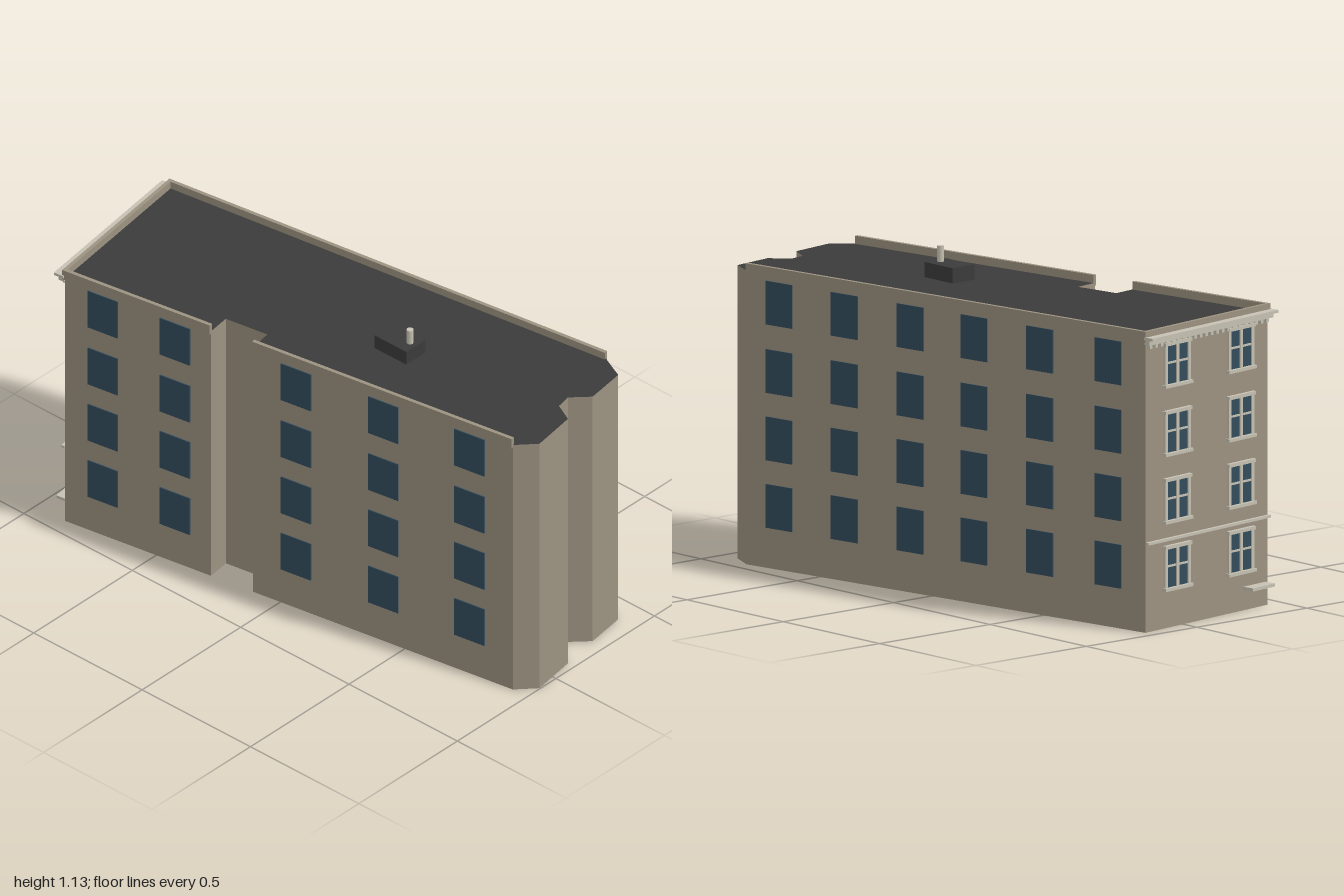
import * as THREE from 'three';

const mat = (name, color) => new THREE.MeshStandardMaterial({ name, color });

export function createModel() {
  const wall = mat('tan masonry', 0x9c9280);
  const roof = mat('dark roofing', 0x3b3b3b);
  const glass = mat('blue grey glass', 0x344c5c);
  const trim = mat('pale stone', 0xc6c1b3);

  const model = new THREE.Group();
  model.name = 'apartmentBlock';

  const add = (parent, name, geometry, material, x, y, z) => {
    const mesh = new THREE.Mesh(geometry, material);
    mesh.name = name;
    mesh.position.set(x, y, z);
    parent.add(mesh);
    return mesh;
  };
  // box given by its ranges along, up and out of a wall
  const box = (parent, name, material, x0, x1, y0, y1, z0, z1) =>
    add(parent, name, new THREE.BoxGeometry(x1 - x0, y1 - y0, z1 - z0), material,
      (x0 + x1) / 2, (y0 + y1) / 2, (z0 + z1) / 2);

  // footprint corners as x, z
  const H = 1.022;
  const frontLeft = [-0.867, 0.438], frontRight = [0.935, 0.147];
  const backRight = [0.826, -0.445], backLeft = [-0.958, -0.195];
  const notchLeft = [-0.28, 0.343], notchRight = [-0.11, 0.316];
  const footprint = [
    frontLeft, notchLeft, [-0.292, 0.254], [-0.125, 0.227], notchRight, frontRight,
    [0.997, 0.08], [0.97, -0.094], [0.896, -0.13], [0.885, -0.188],
    [0.944, -0.248], [0.922, -0.402], backRight, backLeft,
  ];
  const shape = new THREE.Shape(footprint.map(([x, z]) => new THREE.Vector2(x, -z)));
  const body = new THREE.ExtrudeGeometry(shape, { depth: H, bevelEnabled: false });
  body.rotateX(-Math.PI / 2);
  add(model, 'building', body, [roof, wall], 0, 0, 0);

  // group whose x runs along a wall and whose z points outwards
  const face = (name, a, b) => {
    const g = new THREE.Group();
    g.name = name;
    g.position.set(a[0], 0, a[1]);
    g.rotation.y = Math.atan2(a[1] - b[1], b[0] - a[0]);
    g.userData.length = Math.hypot(b[0] - a[0], b[1] - a[1]);
    model.add(g);
    return g;
  };
  const front = face('frontFace', frontLeft, frontRight);
  const back = face('backFace', backRight, backLeft);
  const side = face('streetFace', backLeft, frontLeft);

  // plain windows on the long faces
  const floors = [0.14, 0.375, 0.61, 0.848];
  const winH = 0.152;
  const plainWindows = (g, centres, width) => {
    for (const c of centres) for (const y of floors)
      box(g, 'window', glass, c - width / 2, c + width / 2, y, y + winH, -0.003, 0.004);
  };
  const frontScale = front.userData.length / (frontRight[0] - frontLeft[0]);
  plainWindows(front, [-0.714, -0.423, 0.064, 0.415, 0.762]
    .map((x) => (x - frontLeft[0]) * frontScale), 0.122);
  plainWindows(back, [0.082, 0.246, 0.411, 0.571, 0.736, 0.907]
    .map((t) => t * back.userData.length), 0.12);

  // parapets, broken at the front notch
  const parapet = (g, x0, x1) => box(g, 'parapet', wall, x0, x1, 1.012, 1.05, -0.007, 0.007);
  parapet(front, -0.007, (notchLeft[0] - frontLeft[0]) * frontScale);
  parapet(front, (notchRight[0] - frontLeft[0]) * frontScale, front.userData.length);
  parapet(back, 0, back.userData.length + 0.007);
  const L = side.userData.length;
  parapet(side, 0, L);

  // cornice, dentils and string course on the street face
  box(side, 'cornice', trim, -0.008, L + 0.012, 1.02, 1.03, 0, 0.038);
  box(side, 'corniceBed', trim, -0.004, L + 0.006, 1.003, 1.02, 0, 0.022);
  const dentils = 22;
  for (let i = 0; i < dentils; i++) {
    const x = ((i + 0.5) / dentils) * L;
    box(side, 'dentil', trim, x - 0.007, x + 0.007, 0.988, 1.003, 0, 0.013);
  }
  box(side, 'stringCourse', trim, 0, L + 0.003, 0.305, 0.314, 0, 0.013);

  // framed double windows on the street face
  for (const t of [0.25, 0.77]) for (const y of floors) {
    const w = new THREE.Group();
    w.name = 'framedWindow';
    w.position.set(t * L, y, 0);
    side.add(w);
    const top = winH - 0.012;
    box(w, 'pane', glass, -0.06, 0.06, 0, top, -0.003, 0.004);
    for (const x of [-0.06, 0, 0.06])
      box(w, 'upright', trim, x - 0.006, x + 0.006, 0, top, 0, 0.01);
    box(w, 'crossBar', trim, -0.06, 0.06, 0.072, 0.079, 0, 0.008);
    box(w, 'lintel', trim, -0.07, 0.07, top - 0.004, top + 0.008, 0, 0.014);
    box(w, 'sill', trim, -0.072, 0.072, -0.01, 0.001, 0, 0.017);
  }

  // entrance slab
  box(side, 'entranceSlab', trim, 0.8 * L, 0.98 * L, 0.071, 0.082, 0, 0.044);

  // rooftop hut and flue
  box(model, 'roofHut', roof, 0.2, 0.346, H - 0.005, 1.075, -0.058, 0.04);
  add(model, 'flue', new THREE.CylinderGeometry(0.012, 0.012, 0.06, 12), trim, 0.318, 1.1, -0.01);

  return model;
}
